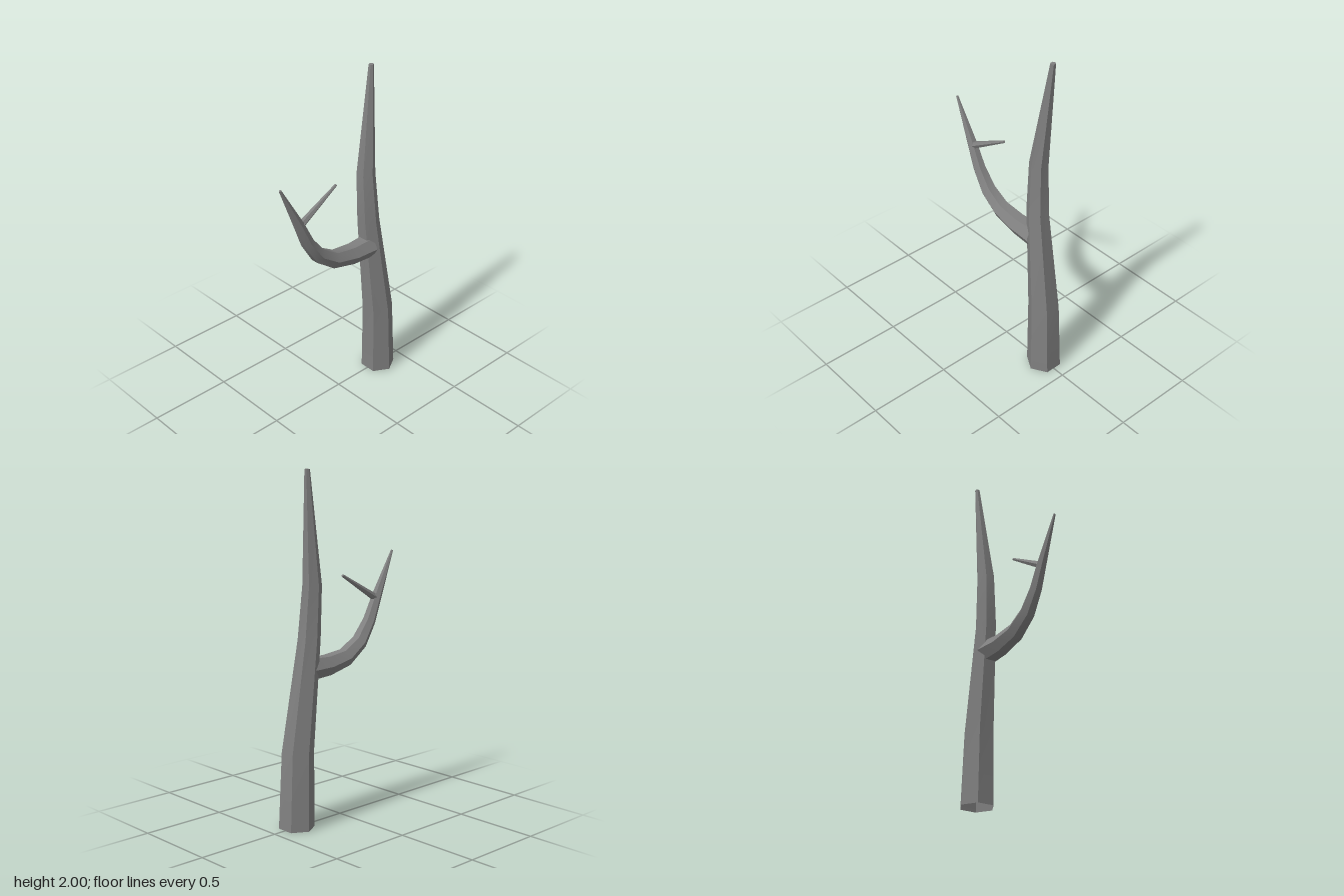
import * as THREE from 'three';
import { toCreasedNormals } from 'three/addons/utils/BufferGeometryUtils.js';

const material = new THREE.MeshStandardMaterial({ color: 0x808080, side: THREE.DoubleSide });

// Six-sided limb swept through rings [x, y, z, radius]; level keeps rings horizontal
function limb(name, rings, level = false) {
  const last = rings.length - 1;
  const geometry = new THREE.CylinderGeometry(1, 1, 1, 6, last);
  // Leave the root open: its cap is the final six triangles
  geometry.setIndex(Array.from(geometry.index.array).slice(0, -18));
  const pos = geometry.attributes.position;
  for (let v = 0; v < pos.count; v++) {
    const i = Math.round((pos.getY(v) + 0.5) * last);
    const [x, y, z, r] = rings[i];
    const a = rings[Math.max(i - 1, 0)];
    const b = rings[Math.min(i + 1, last)];
    // Direction of travel in the xy plane
    const t = level ? new THREE.Vector2(0, 1) : new THREE.Vector2(b[0] - a[0], b[1] - a[1]).normalize();
    const side = pos.getX(v) * r;
    pos.setXYZ(v, x + side * t.y, y - side * t.x, z + pos.getZ(v) * r);
  }
  // Smooth along the limb, sharp across its six ridges
  const mesh = new THREE.Mesh(toCreasedNormals(geometry, 0.7), material);
  mesh.name = name;
  return mesh;
}

export function createModel() {
  const tree = new THREE.Group();
  tree.name = 'bareTree';

  // Trunk, gently bent and tapering to the top
  tree.add(limb('trunk', [
    [0.335, 0, 0, 0.103],
    [0.323, 0.44, 0, 0.092],
    [0.245, 1.07, -0.012, 0.065],
    [0.233, 1.37, -0.025, 0.055],
    [0.292, 2, -0.055, 0.015],
  ], true));

  // Side branch curving out and up
  tree.add(limb('branch', [
    [0.243, 0.9, 0, 0.07],
    [0.1, 0.9, 0, 0.062],
    [-0.043, 0.926, 0, 0.054],
    [-0.156, 1.0, 0, 0.047],
    [-0.236, 1.115, 0, 0.038],
    [-0.295, 1.25, 0, 0.03],
    [-0.421, 1.509, 0, 0.007],
  ]));

  // Twig growing back from the branch
  tree.add(limb('twig', [
    [-0.288, 1.242, 0, 0.022],
    [-0.021, 1.397, 0, 0.008],
  ]));

  return tree;
}
